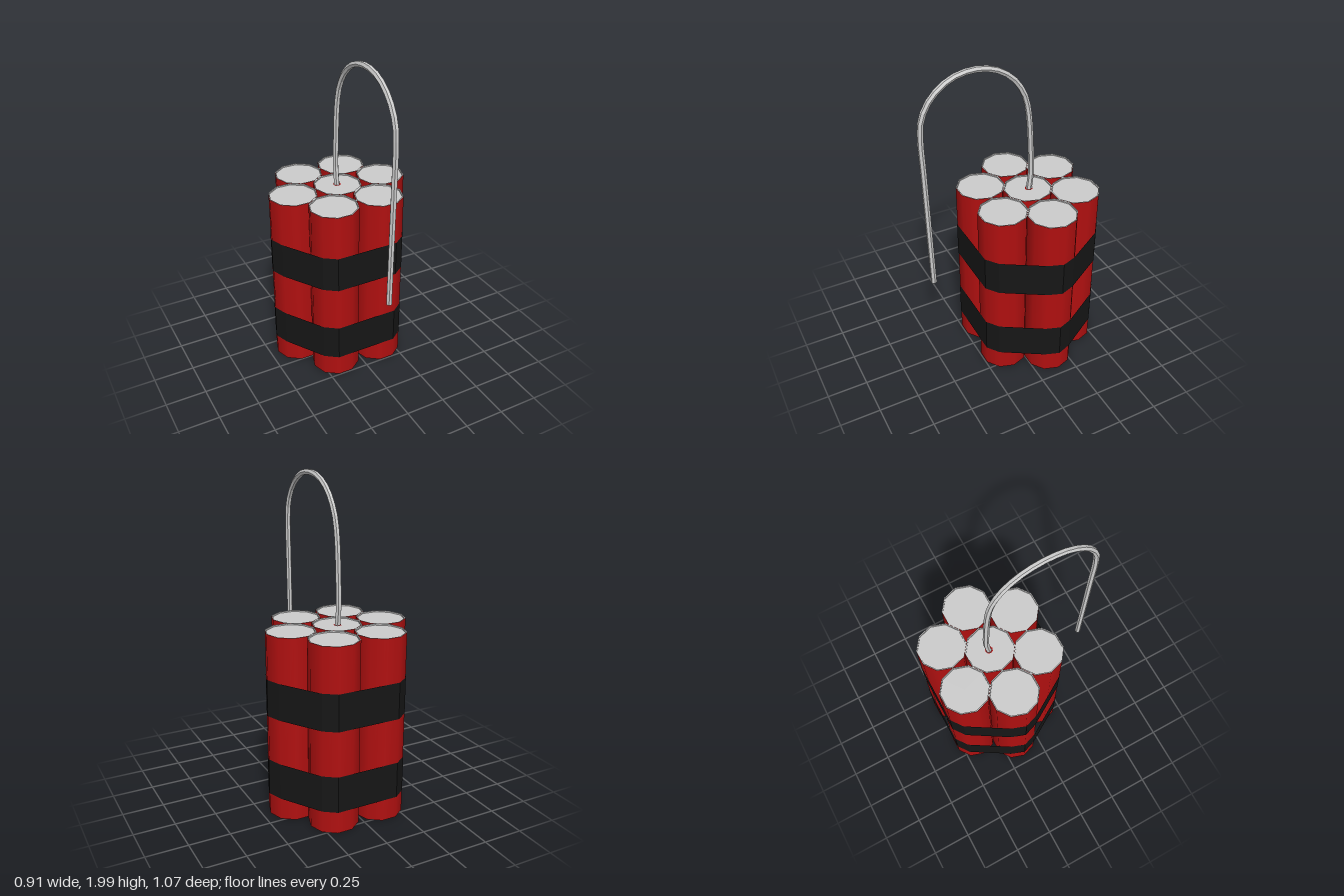
import * as THREE from 'three';

const R = 0.15, H = 1.135, CZ = -0.145, SIDES = 10;

export function createModel() {
  const model = new THREE.Group();
  model.name = 'stickBundle';

  const red = new THREE.MeshStandardMaterial({ color: 0xb01010 });
  const black = new THREE.MeshStandardMaterial({ color: 0x161616, flatShading: true, side: THREE.DoubleSide });
  const grey = new THREE.MeshStandardMaterial({ color: 0xcccccc, flatShading: true });

  const add = (parent, name, geometry, material, x = 0, y = 0, z = 0) => {
    const mesh = new THREE.Mesh(geometry, material);
    mesh.name = name;
    mesh.position.set(x, y, z);
    parent.add(mesh);
    return mesh;
  };

  // Ten-sided sticks: red wall, rimmed grey top, grey base
  const wall = new THREE.CylinderGeometry(R, R, H, SIDES, 1, true, Math.PI / 2);
  const lathe = (pts) => new THREE.LatheGeometry(
    pts.map(([r, y]) => new THREE.Vector2(r, y)), SIDES, Math.PI / 2);
  const topCap = lathe([[R, H], [R - 0.007, H], [R - 0.007, H - 0.008], [0, H - 0.008]]);
  const baseCap = lathe([[0, 0], [R, 0]]);

  const centres = [[0, 0], [-0.3, 0], [0.3, 0]];
  for (const x of [-0.15, 0.15]) for (const z of [-0.245, 0.245]) centres.push([x, z]);
  for (const [x, z] of centres) {
    const stick = new THREE.Group();
    stick.name = 'stick';
    stick.position.set(x, 0, CZ + z);
    add(stick, 'stickWall', wall, red, 0, H / 2, 0);
    add(stick, 'topCap', topCap, grey);
    add(stick, 'baseCap', baseCap, grey);
    model.add(stick);
  }

  // Tape bands: a thin open shell stretched around the six outer sticks
  const quarter = [[0.196, 0.388], [0.271, 0.333], [0.421, 0.088], [0.452, 0]];
  const mirrorZ = quarter.slice(0, 3).reverse().map(([x, z]) => [x, -z]);
  const half = [...quarter, ...mirrorZ];
  const loop = [...half, ...half.slice().reverse().map(([x, z]) => [-x, z])];
  const bandGeometry = new THREE.CylinderGeometry(1, 1, 0.225, loop.length, 1, true);
  const pos = bandGeometry.attributes.position;
  for (let i = 0; i < pos.count; i++) {
    const [x, z] = loop[i % (loop.length + 1) % loop.length];
    pos.setX(i, x * 1.004);
    pos.setZ(i, z * 1.004);
  }
  bandGeometry.computeVertexNormals();
  for (const y of [0.247, 0.75]) add(model, 'tapeBand', bandGeometry, black, 0, y, CZ);

  // Fuse: a thin six-sided cord arching forward from the middle stick
  const path = [
    [1.12, -0.152], [1.25, -0.167], [1.36, -0.163], [1.65, -0.142], [1.77, -0.112],
    [1.88, -0.04], [1.955, 0.07], [1.98, 0.2], [1.955, 0.33], [1.875, 0.44],
    [1.77, 0.502], [1.67, 0.517], [1.4, 0.513], [0.64, 0.498],
  ].map(([y, z]) => new THREE.Vector3(0, y, z));
  const fuse = new THREE.Group();
  fuse.name = 'fuse';
  model.add(fuse);
  add(fuse, 'fuseCord', new THREE.TubeGeometry(new THREE.CatmullRomCurve3(path), 40, 0.018, 6), grey);
  add(fuse, 'fuseTip', new THREE.CircleGeometry(0.018, 6), grey, 0, 0.64, 0.498).rotation.x = Math.PI / 2;
  add(fuse, 'fuseSocket', new THREE.CircleGeometry(0.024, 8), red, 0, H - 0.006, -0.152).rotation.x = -Math.PI / 2;

  return model;
}
